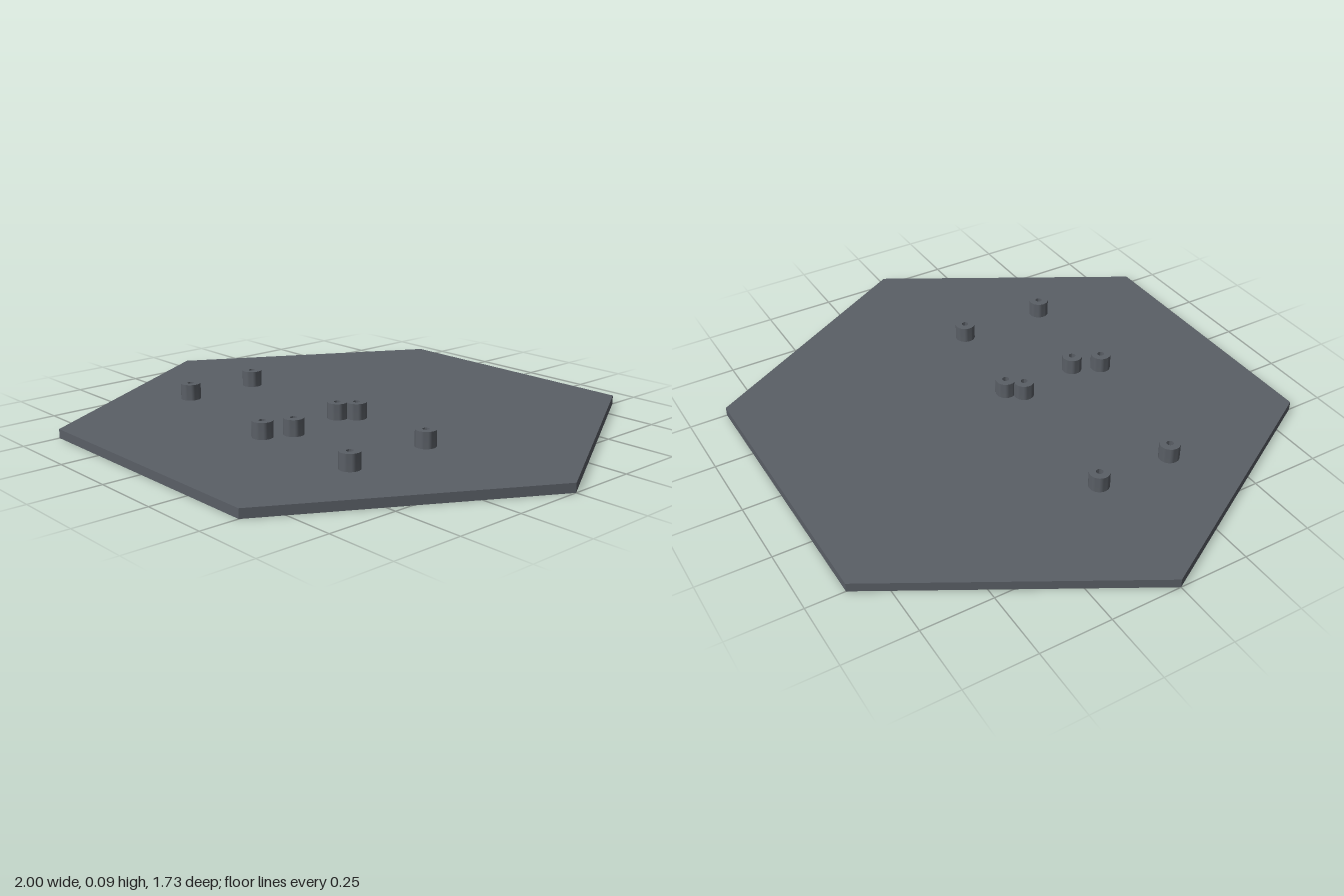
import * as THREE from 'three';
import { toCreasedNormals } from 'three/addons/utils/BufferGeometryUtils.js';

const PLATE = 0.032, TOP = 0.09;   // plate thickness, standoff top height
const OUTER = 0.036, BORE = 0.012; // standoff radii

export function createModel() {
  const model = new THREE.Group();
  model.name = 'mountingPlate';
  const material = new THREE.MeshStandardMaterial({ color: 0x5a5f66 });

  // Hexagonal base plate with corners on the x axis
  const plateGeometry = new THREE.CylinderGeometry(1, 1, PLATE, 6);
  plateGeometry.rotateY(Math.PI / 2).translate(0, PLATE / 2, 0);
  const plate = new THREE.Mesh(toCreasedNormals(plateGeometry, 0.5), material);
  plate.name = 'hexPlate';
  model.add(plate);

  // Hollow standoff: outer wall, top rim, bore wall
  const profile = [[OUTER, PLATE], [OUTER, TOP], [BORE, TOP], [BORE, PLATE]]
    .map(([r, y]) => new THREE.Vector2(r, y));
  const standoffGeometry = toCreasedNormals(new THREE.LatheGeometry(profile, 32), 0.7);

  // Two rectangular four-hole patterns for circuit boards
  const patterns = [
    { name: 'rightBoardStandoff', xs: [-0.52, 0.072], zs: [0.03, 0.313] },
    { name: 'leftBoardStandoff', xs: [0.028, 0.457], zs: [0.08, 0.41] },
  ];
  for (const { name, xs, zs } of patterns) {
    for (const x of xs) {
      for (const z of zs) {
        const standoff = new THREE.Mesh(standoffGeometry, material);
        standoff.name = name;
        standoff.position.set(x, 0, z);
        model.add(standoff);
      }
    }
  }
  return model;
}
